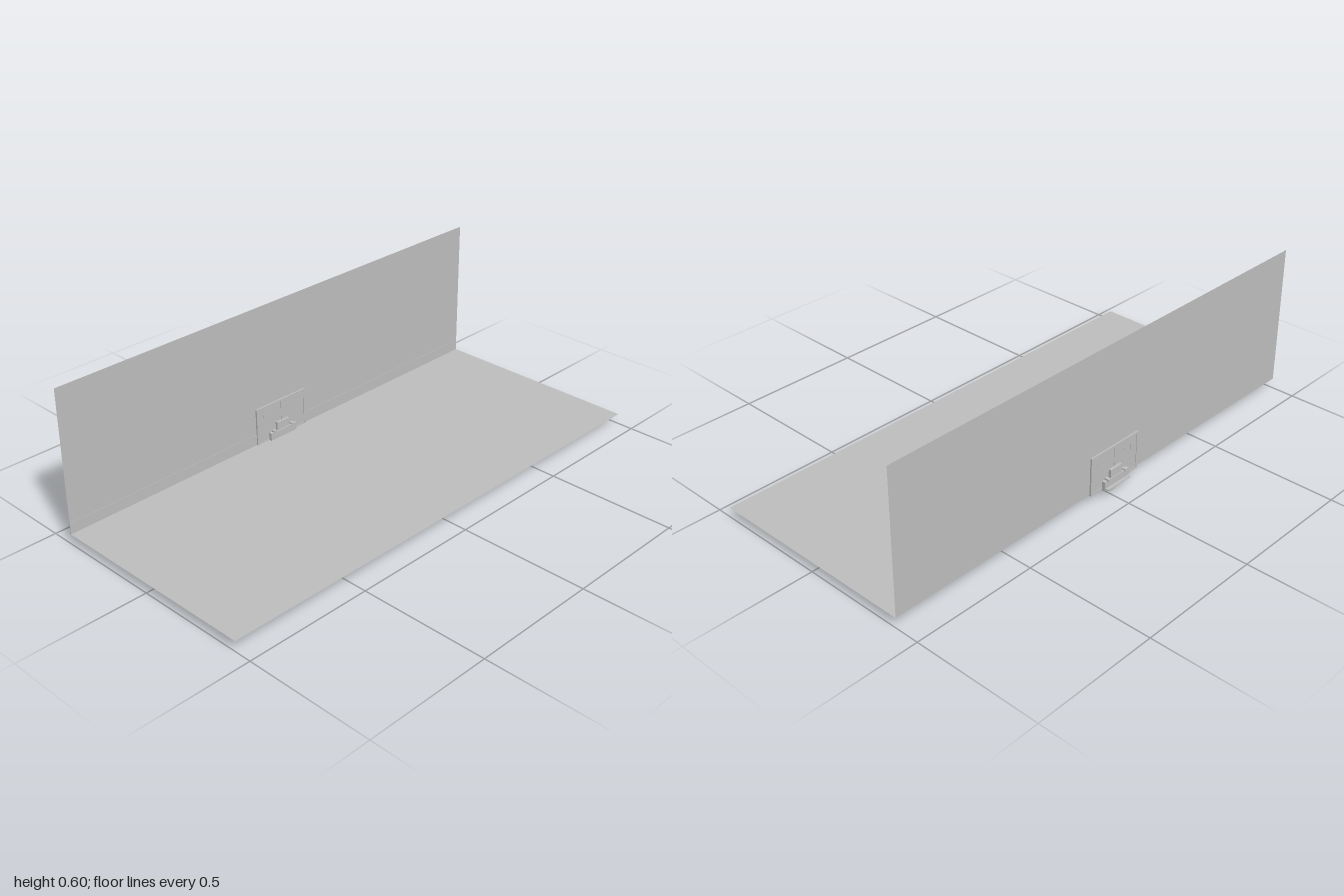
import * as THREE from 'three';

const grey = new THREE.MeshStandardMaterial({ color: 0xc0c0c0 });
grey.name = 'plain grey';
grey.side = THREE.DoubleSide;

const CX = -0.025; // centre of the small fixture
const WALL_Z = -0.405;

export function createModel() {
  const model = new THREE.Group();

  const add = (parent, name, geometry, x, y, z) => {
    const mesh = new THREE.Mesh(geometry, grey);
    mesh.name = name;
    mesh.position.set(x, y, z);
    parent.add(mesh);
    return mesh;
  };
  // Box given by its limits on each axis
  const box = (parent, name, x0, x1, y0, y1, z0, z1) =>
    add(parent, name, new THREE.BoxGeometry(x1 - x0, y1 - y0, z1 - z0),
      (x0 + x1) / 2, (y0 + y1) / 2, (z0 + z1) / 2);

  // Large flat floor and upright wall
  const floor = add(model, 'floor', new THREE.PlaneGeometry(2, 0.84), 0, 0.04, 0.015);
  floor.rotation.x = -Math.PI / 2;
  add(model, 'wall', new THREE.PlaneGeometry(2, 0.558), 0, 0.319, WALL_Z);
  box(model, 'skirtingStrip', -1, 0.96, 0.04, 0.084, WALL_Z, WALL_Z + 0.0015);

  // Framed board that passes through the wall
  const fixture = new THREE.Group();
  fixture.name = 'fixture';
  fixture.position.set(CX, 0, WALL_Z);
  model.add(fixture);

  const outline = new THREE.Shape([
    [-0.125, 0.036], [0.125, 0.036], [0.125, 0.19], [-0.125, 0.19],
  ].map(([x, y]) => new THREE.Vector2(x, y)));
  outline.holes.push(new THREE.Path([
    [-0.117, 0.044], [-0.117, 0.182], [0.117, 0.182], [0.117, 0.044],
  ].map(([x, y]) => new THREE.Vector2(x, y))));
  add(fixture, 'boardFrame',
    new THREE.ExtrudeGeometry(outline, { depth: 0.013, bevelEnabled: false }), 0, 0, -0.0065);
  box(fixture, 'board', -0.118, 0.118, 0.043, 0.183, -0.0045, 0.0045);
  box(fixture, 'boardDivider', -0.002, 0.002, 0.1, 0.183, -0.006, 0.006);
  box(fixture, 'boardSlot', -0.092, -0.086, 0.13, 0.155, -0.006, 0.006);

  // Round studs on both faces of the board
  for (const x of [-0.055, 0.055, 0.09]) {
    const stud = add(fixture, 'stud', new THREE.CylinderGeometry(0.003, 0.003, 0.013, 8), x, 0.15, 0);
    stud.rotation.x = Math.PI / 2;
  }

  // Stepped housing, front and back
  box(fixture, 'upperHousing', -0.03, 0.03, 0.04, 0.103, -0.015, 0.014);
  box(fixture, 'lowerHousing', -0.065, 0.065, 0.036, 0.07, -0.018, 0.018);
  box(fixture, 'baseTray', -0.06, 0.06, 0.038, 0.042, -0.03, 0.016);
  for (const side of [-1, 1]) {
    box(fixture, 'sideClip', side * 0.045 - 0.006, side * 0.045 + 0.006, 0.066, 0.076, -0.022, 0.019);
  }

  // Narrow stepped foot below the floor
  box(fixture, 'footPlate', -0.032, 0.032, 0.03, 0.038, -0.011, 0.011);
  box(fixture, 'footBlock', -0.03, 0.03, 0.02, 0.03, -0.004, 0.004);
  box(fixture, 'footStem', -0.02, 0.02, 0.004, 0.02, -0.002, 0.002);
  const bar = add(fixture, 'footBar', new THREE.CylinderGeometry(0.005, 0.005, 0.05, 4), 0, 0.015, 0);
  bar.rotation.z = Math.PI / 2;
  box(fixture, 'footTip', -0.012, 0.012, 0, 0.006, -0.0015, 0.0015);

  return model;
}
